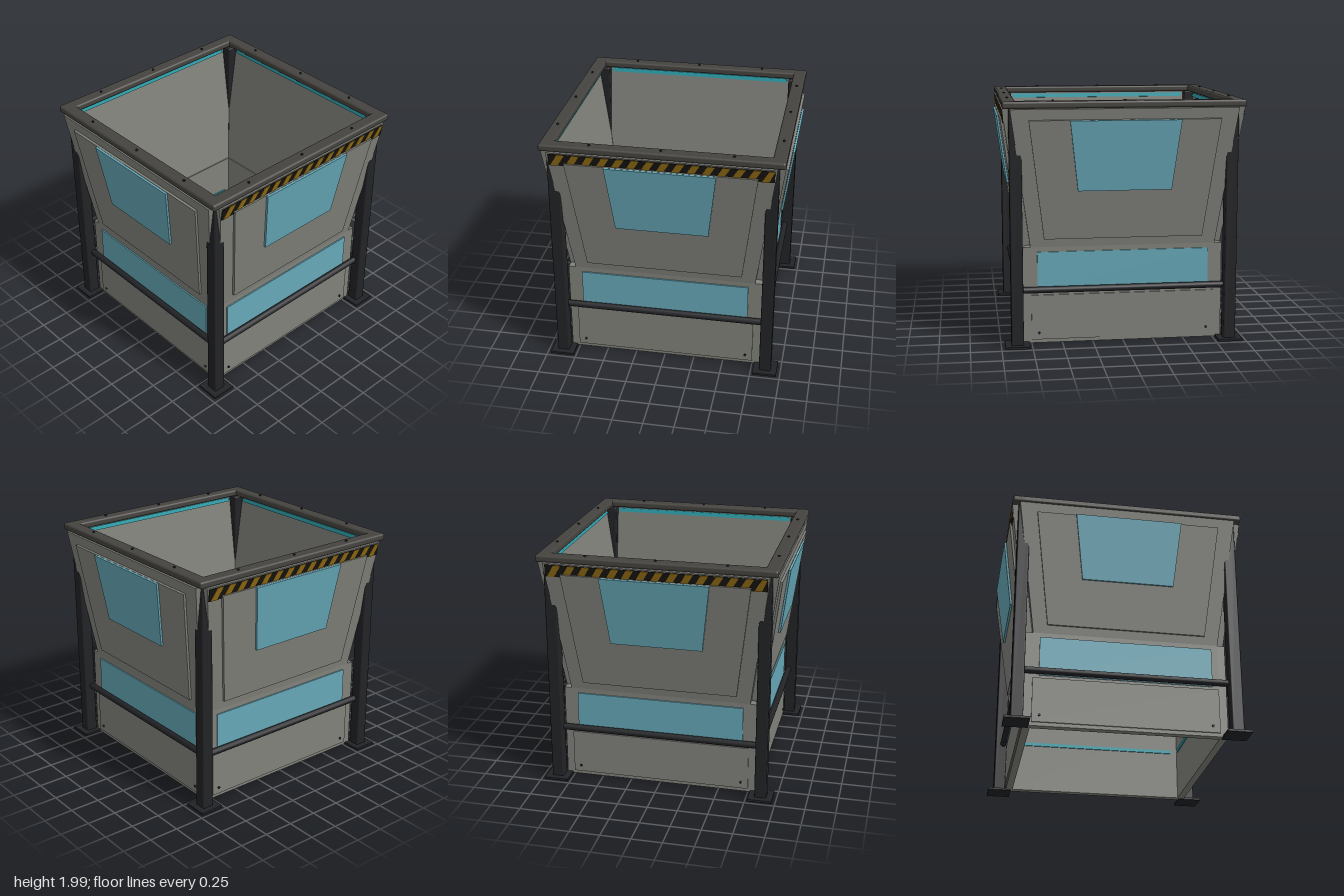
import * as THREE from 'three';
import { RoundedBoxGeometry } from 'three/addons/geometries/RoundedBoxGeometry.js';

const mat = (color) => new THREE.MeshStandardMaterial({ color });

export function createModel() {
  const steel = mat(0x82827c), dark = mat(0x222326), rimMat = mat(0x45433f);
  const glass = mat(0x66a8b8), light = mat(0x2fa3ae), yellow = mat(0x8f6a12), black = mat(0x151412);
  const root = new THREE.Group();
  root.name = 'hopper';

  const add = (parent, name, geo, material, x = 0, y = 0, z = 0) => {
    const m = new THREE.Mesh(geo, material);
    m.name = name;
    m.position.set(x, y, z);
    parent.add(m);
    return m;
  };
  const box = (w, h, d) => new THREE.BoxGeometry(w, h, d);
  // flat plate from outline points, extruded towards +z
  const plate = (pts, depth) => new THREE.ExtrudeGeometry(
    new THREE.Shape(pts.map(([x, y]) => new THREE.Vector2(x, y))), { depth, bevelEnabled: false });
  // symmetric trapezoid outline: half widths at bottom and top
  const trapezoid = (wBottom, wTop, y0, y1) => [[-wBottom, y0], [wBottom, y0], [wTop, y1], [-wTop, y1]];

  const tilt = Math.atan2(0.155, 1.12);
  const up = (y) => (y - 0.8) / Math.cos(tilt); // world height to distance along the slope

  // slanted warning stripes, clipped to the band
  function hazardBand(parent) {
    const y0 = up(1.81), y1 = up(1.91), half = 0.89, pitch = 0.1187, slant = 0.06;
    const band = new THREE.Group();
    band.name = 'hazardBand';
    parent.add(band);
    add(band, 'bandBase', plate(trapezoid(half, half, y0, y1), 0.006), black);
    for (let i = 0; i < 15; i++) {
      const a = -half + 0.015 + i * pitch, b = Math.min(a + pitch / 2, half);
      const top = (x) => Math.min(x + slant, half);
      const pts = [[a, y0], [b, y0], [top(b), y1], [top(a), y1]];
      add(band, 'yellowStripe', plate(pts, 0.003), yellow, 0, 0, 0.006);
    }
  }

  for (let i = 0; i < 4; i++) {
    const side = new THREE.Group();
    side.name = ['frontSide', 'leftSide', 'backSide', 'rightSide'][i];
    side.rotation.y = i * Math.PI / 2;
    root.add(side);

    // lower wall with skirt plate, window and bolts
    add(side, 'lowerWall', box(1.57, 0.795, 0.06), steel, -0.03, 0.4025, 0.785);
    add(side, 'skirtPlate', box(1.5, 0.37, 0.012), steel, 0, 0.22, 0.82);
    add(side, 'lowerWindow', box(1.4, 0.33, 0.012), glass, 0, 0.595, 0.82);
    add(side, 'lowerLightStrip', box(1.4, 0.03, 0.012), light, 0, 0.44, 0.75);
    for (const s of [-1, 1]) {
      const bolt = add(side, 'skirtBolt', new THREE.CylinderGeometry(0.01, 0.01, 0.012, 12), dark, s * 0.69, 0.09, 0.83);
      bolt.rotation.x = Math.PI / 2;
    }
    // cross rail between the posts
    const rail = add(side, 'crossRail', new THREE.CylinderGeometry(0.027, 0.027, 1.68, 12), dark, 0, 0.455, 0.85);
    rail.rotation.z = Math.PI / 2;

    // flared upper wall
    const flare = new THREE.Group();
    flare.name = 'flaredWall';
    flare.position.set(0, 0.8, 0.815);
    flare.rotation.x = tilt;
    side.add(flare);
    add(flare, 'flaredPanel', plate(trapezoid(0.755, 0.91, 0, up(1.92)), 0.06), steel, 0, 0, -0.06);
    add(flare, 'raisedPlate', plate(trapezoid(0.645, 0.765, up(0.87), up(1.835)), 0.02), steel);
    add(flare, 'upperWindow', plate(trapezoid(0.377, 0.443, up(1.27), up(1.835)), 0.018), glass, 0, 0, 0.022);
    add(flare, 'upperLightStrip', box(1.6, 0.035, 0.015), light, 0, up(1.885), -0.065);
    if (i % 2 === 0) hazardBand(flare);

    // rim beam with bolts
    add(side, 'rimBeam', new RoundedBoxGeometry(1.94, 0.057, 0.11, 3, 0.018), rimMat, 0, 1.953, 0.915);
    for (const x of [-0.57, 0, 0.57])
      add(side, 'rimBolt', new THREE.CylinderGeometry(0.01, 0.01, 0.012, 12), dark, x, 1.985, 0.915);

    // corner post on a foot plate
    add(side, 'cornerPost', new RoundedBoxGeometry(0.1, 1.92, 0.1, 2, 0.012), dark, 0.87, 0.97, 0.87);
    add(side, 'footPlate', box(0.2, 0.018, 0.2), dark, 0.87, 0.009, 0.87);
  }
  return root;
}
